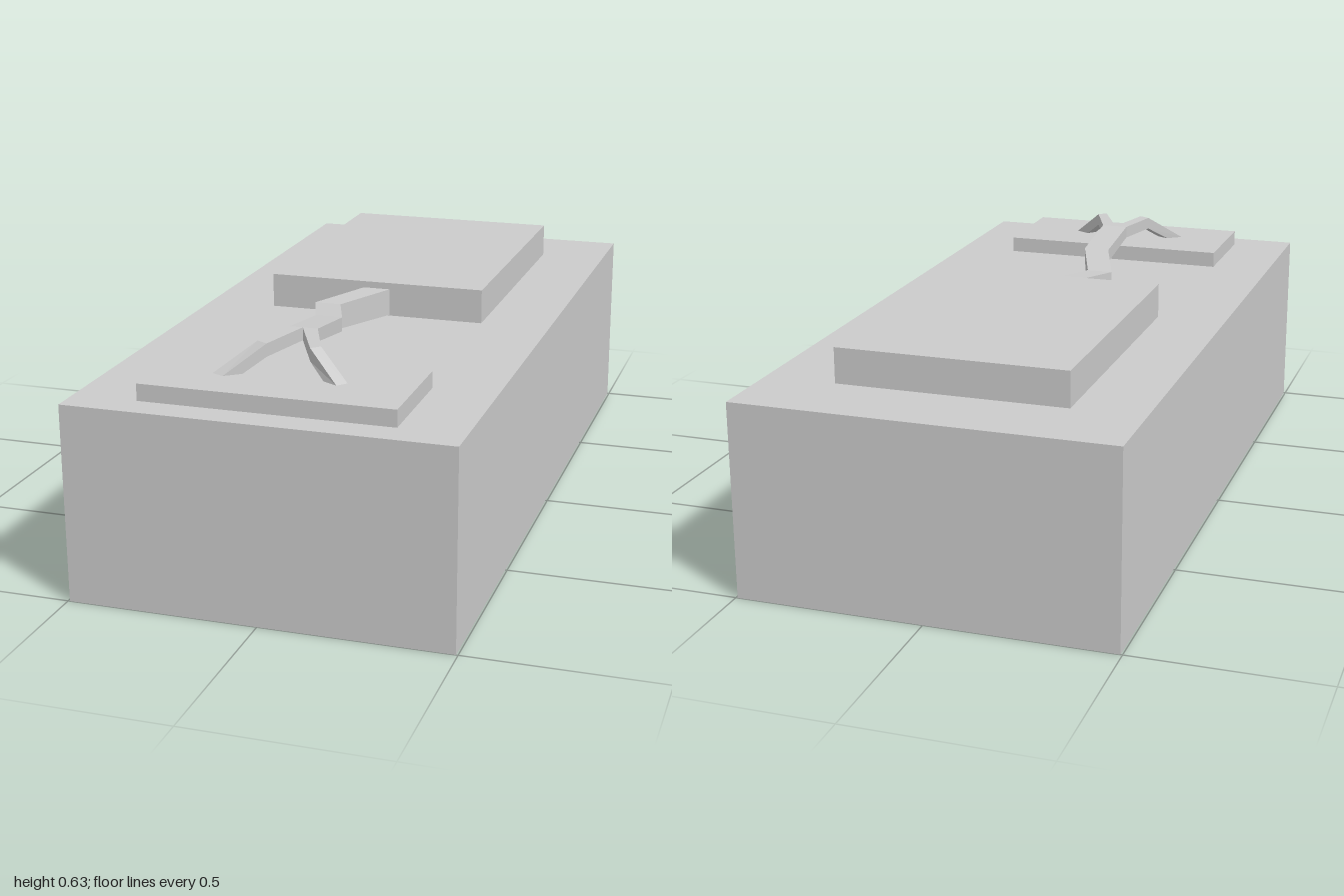
import * as THREE from 'three';

const material = new THREE.MeshStandardMaterial({ color: 0xcccccc, flatShading: true });

// Box given by its extents on each axis
function block(name, [x0, x1], [y0, y1], [z0, z1]) {
  const mesh = new THREE.Mesh(new THREE.BoxGeometry(x1 - x0, y1 - y0, z1 - z0), material);
  mesh.position.set((x0 + x1) / 2, (y0 + y1) / 2, (z0 + z1) / 2);
  mesh.name = name;
  return mesh;
}

// Angular bar lofted through four-cornered sections:
// [ax, az, bx, bz, top, bottom, shiftX, shiftZ], the shift moving the bottom edge
function bar(name, sections) {
  const rings = sections.map(([ax, az, bx, bz, top, bottom, sx = 0, sz = 0]) => [
    [ax, top, az], [bx, top, bz], [bx + sx, bottom, bz + sz], [ax + sx, bottom, az + sz],
  ]);
  const positions = [];
  const quad = (a, b, c, d) => positions.push(...a, ...b, ...c, ...a, ...c, ...d);
  for (let i = 0; i < rings.length - 1; i++) {
    for (let k = 0; k < 4; k++) {
      const n = (k + 1) % 4;
      quad(rings[i][k], rings[i + 1][k], rings[i + 1][n], rings[i][n]);
    }
  }
  quad(...rings[0]);
  quad(...[...rings[rings.length - 1]].reverse());
  const geometry = new THREE.BufferGeometry();
  geometry.setAttribute('position', new THREE.Float32BufferAttribute(positions, 3));
  geometry.computeVertexNormals();
  const mesh = new THREE.Mesh(geometry, material);
  mesh.name = name;
  return mesh;
}

export function createModel() {
  const model = new THREE.Group();
  model.name = 'blockWithForkedArm';

  // Base and the two raised slabs
  model.add(
    block('base', [-0.495, 0.495], [0, 0.516], [-1, 1]),
    block('rearSlab', [-0.305, 0.305], [0.516, 0.61], [-0.79, 0.03]),
    block('frontSlab', [-0.327, 0.327], [0.516, 0.56], [0.617, 0.92]),
  );

  // Bent arm with a forked end
  const arm = new THREE.Group();
  arm.name = 'arm';
  arm.add(
    bar('forearm', [
      [-0.035, 0.03, 0.04, 0.03, 0.592, 0.518],
      [-0.12, 0.2, -0.048, 0.2, 0.587, 0.518],
      [-0.057, 0.38, 0.016, 0.38, 0.605, 0.567],
      [-0.057, 0.58, 0.018, 0.58, 0.631, 0.597],
    ]),
    bar('rightFinger', [
      [-0.057, 0.58, -0.022, 0.58, 0.631, 0.597],
      [-0.09, 0.72, -0.06, 0.737, 0.631, 0.597],
      [-0.182, 0.79, -0.15, 0.805, 0.56, 0.56, 0.04, -0.03],
    ]),
    bar('leftFinger', [
      [-0.022, 0.58, 0.018, 0.58, 0.631, 0.597],
      [0.054, 0.742, 0.075, 0.722, 0.631, 0.597],
      [0.138, 0.795, 0.158, 0.77, 0.56, 0.56, -0.04, -0.022],
    ]),
  );
  model.add(arm);
  return model;
}
